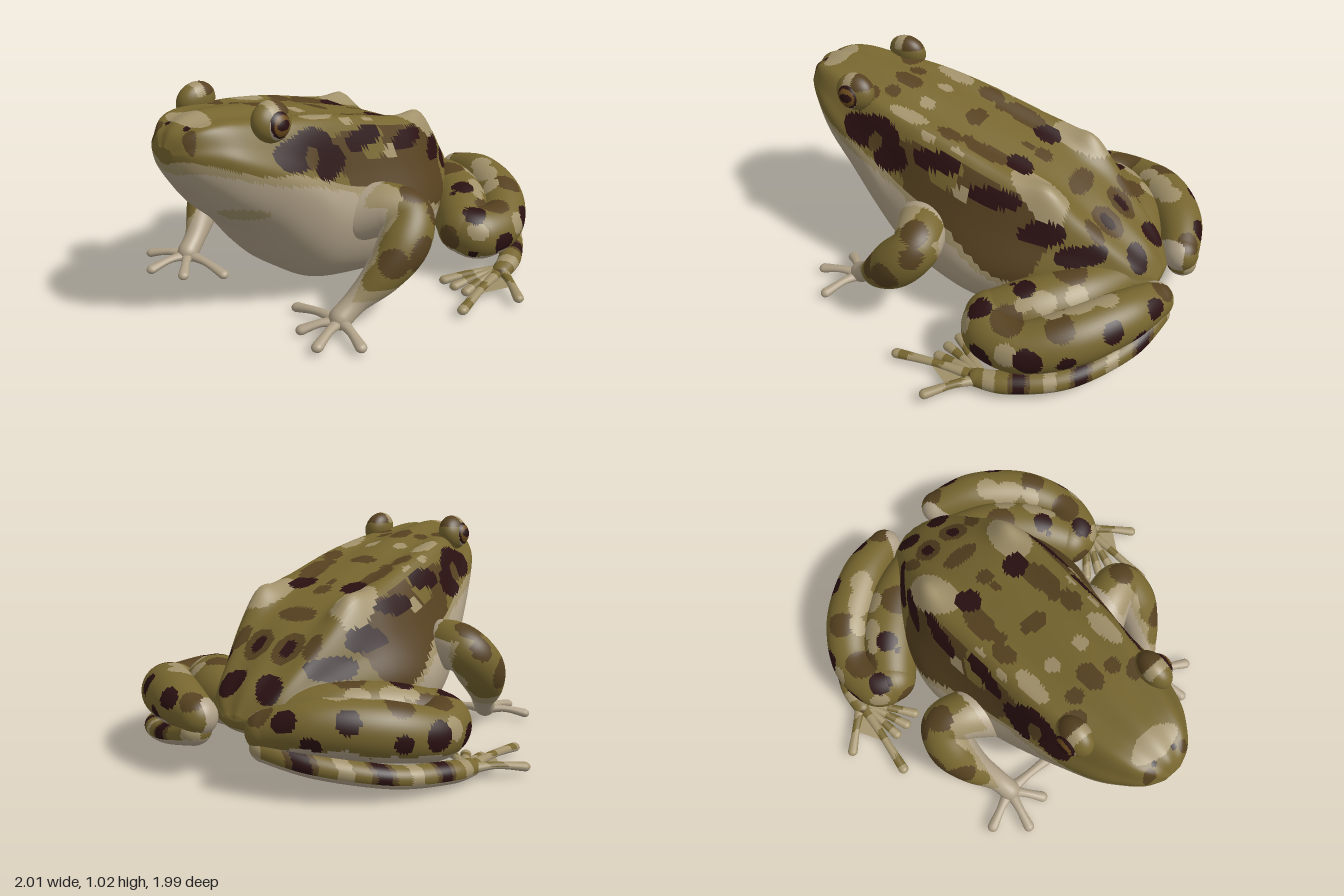
import * as THREE from 'three';

const mat = (name, color) => Object.assign(new THREE.MeshStandardMaterial({ color }), { name });
const MATS = [
  mat('olive', 0x77662f), mat('brown', 0x564120), mat('darkSpot', 0x2a1011),
  mat('sand', 0xa1916a), mat('cream', 0xb0a188), mat('iris', 0x6b4a1c),
];
const [OLIVE, BROWN, DARK, SAND, CREAM, IRIS] = [0, 1, 2, 3, 4, 5];

// Catmull-Rom through rows of numbers, t from 0 to 1
function spline(rows, t, closed = false) {
  const n = rows.length, f = t * (closed ? n : n - 1);
  const i = closed ? Math.floor(f) : Math.min(Math.floor(f), n - 2), u = f - i;
  const at = k => rows[closed ? (k + n) % n : Math.max(0, Math.min(n - 1, k))];
  const [a, b, c, d] = [at(i - 1), at(i), at(i + 1), at(i + 2)];
  return b.map((_, k) => 0.5 * (2 * b[k] + (c[k] - a[k]) * u + (2 * a[k] - 5 * b[k] + 4 * c[k] - d[k]) * u * u
    + (3 * b[k] - a[k] - 3 * c[k] + d[k]) * u * u * u));
}

// Smooth skin over closed rings of points
function loft(rings) {
  const m = rings[0].length, index = [];
  for (let i = 0; i < rings.length - 1; i++) for (let j = 0; j < m; j++) {
    const a = i * m + j, b = i * m + (j + 1) % m, c = a + m, d = b + m;
    index.push(a, c, b, b, c, d);
  }
  const g = new THREE.BufferGeometry();
  g.setAttribute('position', new THREE.Float32BufferAttribute(rings.flat(2), 3));
  g.setIndex(index);
  g.computeVertexNormals();
  return g;
}

// Sort the faces into colour groups by a rule of (|x|, y, z, normal y)
function painted(name, g, rule) {
  const p = g.attributes.position, idx = g.index.array, lists = MATS.map(() => []);
  const v = [0, 1, 2].map(() => new THREE.Vector3()), c = new THREE.Vector3(), tri = new THREE.Triangle();
  for (let i = 0; i < idx.length; i += 3) {
    v.forEach((q, k) => q.fromBufferAttribute(p, idx[i + k]));
    tri.set(...v).getMidpoint(c);
    const ny = tri.getNormal(new THREE.Vector3()).y;
    lists[rule(Math.abs(c.x), c.y, c.z, ny)].push(idx[i], idx[i + 1], idx[i + 2]);
  }
  g.setIndex(lists.flat());
  let start = 0;
  lists.forEach((l, k) => { if (l.length) g.addGroup(start, l.length, k); start += l.length; });
  const mesh = new THREE.Mesh(g, MATS);
  mesh.name = name;
  return mesh;
}

const wobble = (x, y, z) => Math.sin(31 * x + 17 * z) * 0.5 + Math.sin(27 * y - 23 * z + 1) * 0.5;

// Round-ended limb through [x, y, z, radius] points
function limb(points, side, flat = 1, rows = 60, sides = 32) {
  const rings = [], up = new THREE.Vector3(0, 1, 0);
  const add = (t, push, scale) => {
    const a = spline(points, Math.max(0, t - 0.01)), b = spline(points, Math.min(1, t + 0.01));
    const [x, y, z, r] = spline(points, t);
    const T = new THREE.Vector3((b[0] - a[0]) * side, b[1] - a[1], b[2] - a[2]).normalize();
    const S = T.clone().cross(up).normalize(), U = S.clone().cross(T);
    const c = new THREE.Vector3(x * side, y, z).addScaledVector(T, push * r);
    rings.push(Array.from({ length: sides }, (_, j) => {
      const q = j / sides * Math.PI * 2;
      return c.clone().addScaledVector(S, Math.cos(q) * r * scale)
        .addScaledVector(U, Math.sin(q) * r * scale * flat).toArray();
    }));
  };
  for (let k = 0; k < 8; k++) { const q = k / 8 * Math.PI / 2; add(0, -Math.cos(q), Math.sin(q)); }
  for (let i = 0; i <= rows; i++) add(i / rows, 0, 1);
  for (let k = 7; k >= 0; k--) { const q = k / 8 * Math.PI / 2; add(1, Math.cos(q), Math.sin(q)); }
  return loft(rings);
}

// Body stations: z, top y, ridge x, ridge y, half width, its height, bottom y
const BODY = [
  [1.0, .88, .03, .875, .045, .855, .81], [.965, .94, .08, .92, .12, .85, .745], [.9, .972, .13, .95, .185, .83, .66],
  [.8, .982, .165, .955, .255, .79, .54], [.65, .965, .2, .93, .315, .71, .40], [.5, .94, .24, .905, .36, .6, .22],
  [.35, .905, .265, .875, .395, .46, .09], [.15, .85, .275, .835, .45, .38, .04], [-.1, .78, .285, .77, .495, .35, .01],
  [-.3, .715, .285, .72, .46, .35, .015], [-.5, .62, .25, .62, .37, .34, .05], [-.65, .52, .2, .5, .28, .33, .12],
  [-.8, .4, .14, .37, .19, .3, .19], [-.88, .29, .05, .28, .07, .27, .24],
];
function bodyGeometry() {
  const rings = [], N = 150, M = 112;
  for (let i = 0; i <= N; i++) {
    const [z, yt, xr, yr, w, ym, yb] = spline(BODY, i / N);
    const half = [[.5 * w, yb + .06 * (ym - yb)], [.87 * w, yb + .42 * (ym - yb)], [w, ym],
      [(w + xr) / 2 * 1.04, (ym + yr) / 2], [xr, yr], [xr * .5, (yt + yr) / 2 - .004]];
    const outline = [[0, yb], ...half, [0, yt], ...half.map(([x, y]) => [-x, y]).reverse()];
    rings.push(Array.from({ length: M }, (_, j) => {
      const [x, y] = spline(outline, j / M, true);
      // hip humps on the back
      const hump = .055 * Math.exp(-(((Math.abs(x) - .24) / .07) ** 2) - ((z + .4) / .09) ** 2) * (y > .5 ? 1 : 0);
      return [x, y + hump, z];
    }));
  }
  const cap = (r, z) => r.map(() => [0, (r[0][1] + r[M / 2][1]) / 2, z]);
  return loft([cap(rings[0], 1.0), ...rings, cap(rings[N], -.885)]);
}

// Back markings [x, z, rx, rz, colour] and flank markings [z, y, rz, ry, colour]
const BACK = [
  [0, .1, .07, .04, BROWN], [0, .47, .05, .07, BROWN], [.14, -.2, .06, .06, DARK], [.08, -.62, .035, .045, DARK],
  [.1, -.78, .07, .05, DARK], [.08, .32, .035, .04, SAND], [.21, .33, .045, .1, SAND], [0, .87, .12, .06, SAND],
  [.23, -.36, .09, .15, SAND], [.18, -.06, .06, .11, BROWN], [0, -.45, .09, .05, BROWN], [.2, .58, .07, .05, BROWN],
  [.08, -.62, .07, .08, BROWN], [.19, -.6, .04, .05, BROWN], [.2, .13, .04, .06, BROWN], [.27, .2, .014, .04, SAND],
  [.27, .05, .014, .03, SAND], [0, -.25, .04, .04, BROWN],
];
const FLANK = [
  [.47, .76, .045, .05, BROWN], [.5, .8, .15, .075, DARK], [.38, .71, .09, .075, DARK], [.13, .76, .12, .045, DARK],
  [-.18, .68, .13, .04, DARK], [-.4, .56, .1, .055, DARK], [-.58, .46, .1, .05, DARK], [-.05, .57, .07, .05, BROWN],
  [.2, .64, .09, .05, BROWN], [-.22, .5, .1, .05, BROWN], [-.02, .66, .05, .03, SAND],
];
const hit = (list, a, b, n) => list.find(s => ((a - s[0]) / s[2]) ** 2 + ((b - s[1]) / s[3]) ** 2 < 1 + .3 * n);
const BELLY = [[-.9, .22], [-.5, .27], [-.2, .38], [0, .47], [.3, .61], [.6, .71], [1.01, .83]];
function bodyRule(x, y, z) {
  const n = wobble(x, y, z);
  const k = Math.max(1, BELLY.findIndex(b => b[0] > z));
  const [a, b] = [BELLY[k - 1], BELLY[k]];
  const line = a[1] + (b[1] - a[1]) * (z - a[0]) / (b[0] - a[0]) + n * .018;
  if (y < line) return y > line - .04 || hit([[.17, .56, .09, .04]], x, y, n) ? SAND : CREAM;
  if (hit([[.055, .925, .014, .012]], x, z, 0)) return DARK;
  const s = (x > .19 && hit(FLANK, z, y, n)) || hit(BACK, x, z, n);
  if (s) return s[4];
  const blotch = Math.sin(15 * x + 8 * y + 2) * Math.sin(13 * z + 5 * y);
  return x > .3 && z < .45 && blotch > -.1 || blotch > .86 ? BROWN : OLIVE;
}

// Ball markings [x, y, z, radius, colour] on limbs
const LEG = [
  [.5, .42, -.32, .05, DARK], [.52, .4, -.42, .045, DARK], [.68, .35, -.28, .055, DARK], [.8, .26, -.58, .06, DARK],
  [.55, .36, -.87, .06, DARK], [.3, .34, -.97, .05, DARK], [.8, .2, -.36, .055, DARK], [.72, .24, -.72, .045, DARK],
  [.72, .14, -.2, .05, DARK], [.42, .24, -.94, .045, DARK], [.56, .42, -.55, .075, SAND], [.48, .42, -.66, .075, SAND],
  [.41, .42, -.76, .06, SAND], [.6, .4, -.46, .05, SAND], [.1, .26, -.85, .1, CREAM], [.68, .34, -.42, .07, BROWN],
  [.64, .36, -.64, .06, BROWN], [.18, .34, -.94, .05, BROWN], [.34, .44, -.55, .08, BROWN], [.8, .26, -.47, .05, SAND],
  [.74, .3, -.2, .06, SAND], [.6, .22, -.17, .06, BROWN],
];
const ball = (list, x, y, z, n) => list.find(s => Math.hypot(x - s[0], y - s[1], z - s[2]) < s[3] * (1.1 + .2 * n));
const legRule = (x, y, z, ny) => {
  const n = wobble(x, y, z);
  if (ny < -.55 + .12 * n) return CREAM;
  return (ball(LEG, x, y, z, n) || [0, 0, 0, 0, OLIVE])[4];
};
const shinRule = (x, y, z, ny) => {
  if (ny < -.4) return CREAM;
  const bar = Math.sin(22 * z + 9 * x);
  return bar > .8 ? DARK : bar > .45 ? BROWN : bar < -.8 ? SAND : OLIVE;
};
const armRule = (x, y, z) => {
  const n = wobble(x, y, z);
  const s = ball([[.7, .33, .2, .07, BROWN], [.64, .32, .33, .06, BROWN], [.58, .56, .1, .06, BROWN],
    [.66, .46, .08, .05, BROWN]], x, y, z, n);
  if (s) return s[4];
  if (x > .565 + .03 * n && y > .2) return OLIVE;
  if (y > .5 && x > .43) return z < .14 ? OLIVE : SAND;
  return x > .53 && y > .15 ? SAND : CREAM;
};

// Limb paths, mirrored to both sides
const ARM = [[.34, .42, .2, .13], [.46, .455, .14, .12], [.565, .435, .115, .112], [.595, .34, .2, .115],
  [.57, .23, .31, .088], [.515, .13, .42, .055], [.49, .07, .5, .052]];
const THIGH = [[.14, .28, -.72, .1], [.32, .28, -.61, .135], [.48, .26, -.46, .145], [.59, .24, -.31, .12]];
const SHANK = [[.6, .24, -.3, .12], [.67, .225, -.34, .125], [.69, .23, -.5, .115], [.57, .27, -.68, .125],
  [.37, .29, -.83, .115], [.18, .265, -.91, .085]];
const TARSUS = [[.19, .2, -.92, .07], [.4, .15, -.87, .06], [.64, .1, -.7, .055], [.77, .075, -.48, .055], [.8, .06, -.34, .045]];
const FINGERS = [[.53, .04, .7], [.67, .04, .585], [.38, .03, .63], [.24, .03, .5]];
const TOES = [[.98, .05, -.18], [.835, .04, .06], [.75, .03, -.11], [.68, .03, -.12], [.61, .03, -.14]];

function digit(from, tip, side, thick) {
  const mid = from.map((v, i) => (v + tip[i]) / 2 + (i === 1 ? .012 : 0));
  return limb([[...from, thick], [...mid, thick * .62], [...tip, thick * .78]], side, .8, 16, 14);
}

export function createModel() {
  const frog = new THREE.Group();
  frog.name = 'frog';
  frog.add(painted('body', bodyGeometry(), bodyRule));

  for (const side of [1, -1]) {
    const label = side > 0 ? 'left' : 'right';
    const add = (name, g, rule) => frog.add(painted(label + name, g, rule));

    // Eye: heavy lid, then a ball with ring, iris and pupil
    const lid = new THREE.SphereGeometry(1, 40, 28).scale(.065, .088, .098).rotateZ(side * .25).translate(side * .225, .94, .625);
    add('Eyelid', lid, (x, y, z) => z > .665 ? OLIVE : y > .975 ? (z < .62 ? BROWN : SAND) : OLIVE);
    const ex = .238, ey = .932, ez = .63;
    const eye = new THREE.SphereGeometry(.069, 48, 36).translate(side * ex, ey, ez);
    add('Eye', eye, (x, y, z) => {
      const d = Math.hypot(y - ey - .005, z - ez);
      if (x < ex) return OLIVE;
      if (Math.hypot((y - ey - .008) / .022, (z - ez) / .034) < 1) return DARK;
      if (d < .045) return IRIS;
      return d < .054 ? DARK : y > ey + .03 ? DARK : CREAM;
    });

    // Front leg and hand
    add('FrontLeg', limb(ARM, side, 1, 80, 44), armRule);
    FINGERS.forEach((tip, i) => add('Finger' + (i + 1), digit([.49, .055, .5], tip, side, .034), () => CREAM));

    // Folded hind leg
    add('Thigh', limb(THIGH, side, 1, 80, 48), legRule);
    add('Shank', limb(SHANK, side, 1, 100, 48), legRule);
    add('HindFoot', limb(TARSUS, side, .85, 80, 32), shinRule);
    TOES.forEach((tip, i) => add('Toe' + (i + 1), digit([.79, .055, -.36], tip, side, .032),
      (x, y, z, ny) => ny < 0 ? CREAM : Math.sin(40 * z + i) > .5 ? OLIVE : SAND));

    // Webbing between neighbouring toes
    const web = [];
    for (let i = 0; i < TOES.length - 1; i++) {
      const at = k => TOES[k].map((v, a) => [.79, .05, -.36][a] * .4 + v * .6);
      const quad = [[.79, .05, -.36], at(i), at(i + 1)];
      quad.forEach(([x, y, z]) => web.push(side * x, y, z));
    }
    const webGeo = new THREE.BufferGeometry();
    webGeo.setAttribute('position', new THREE.Float32BufferAttribute(web, 3));
    webGeo.computeVertexNormals();
    const webMat = WEB;
    const webMesh = new THREE.Mesh(webGeo, webMat);
    webMesh.name = label + 'Webbing';
    frog.add(webMesh);
  }
  return frog;
}

const WEB = mat('webbing', 0xa1916a);
WEB.side = THREE.DoubleSide;
